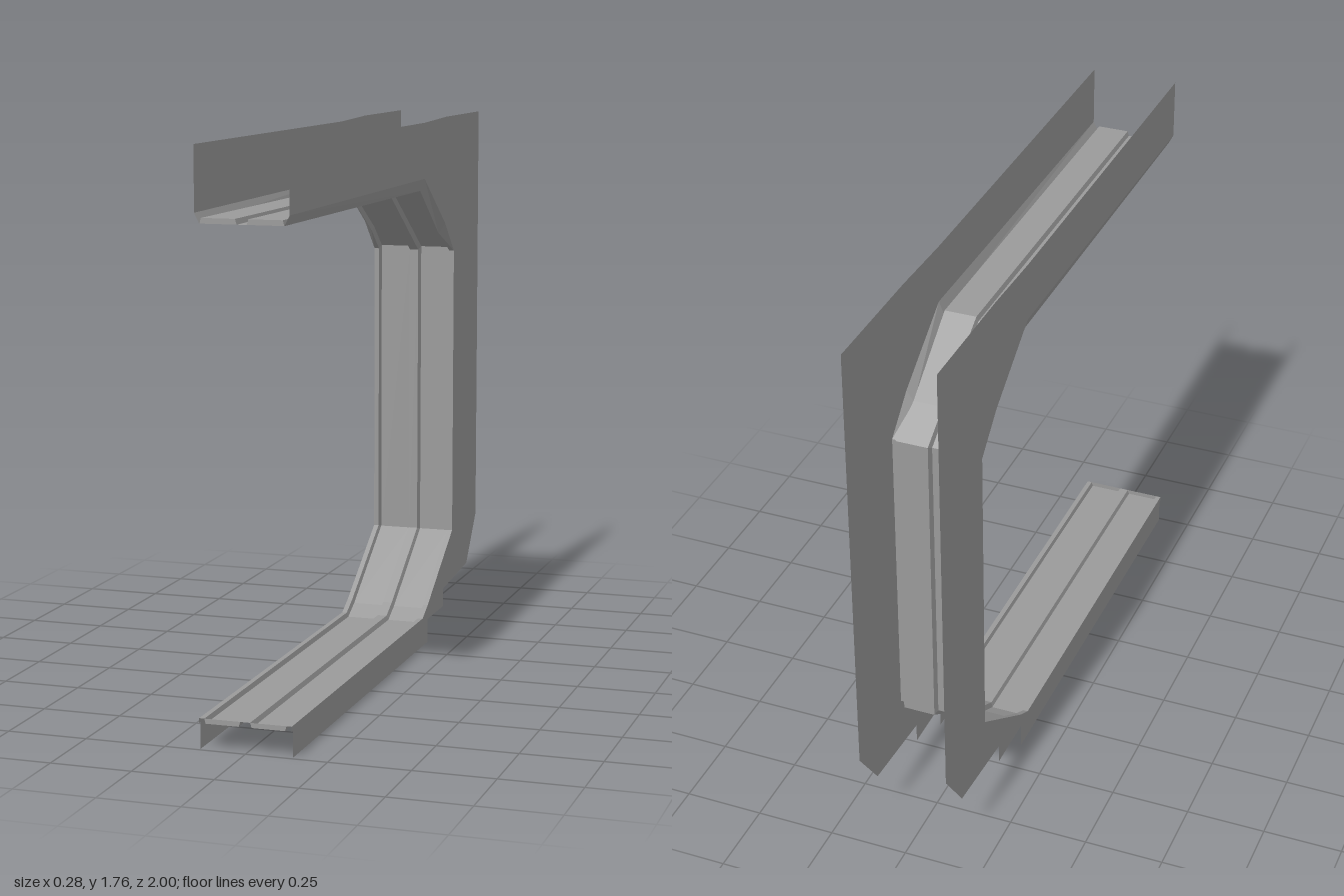
import * as THREE from 'three';

const HALF = 0.142; // half width of the frame
const NARROW = 0.127; // half width of the lining under the upper arm
const material = new THREE.MeshStandardMaterial({ color: 0x9a9a9a, flatShading: true, side: THREE.DoubleSide });

// Side plate outline as [z, y]
const outline = [
  [1, 1.752], [-0.33, 1.752], [-0.58, 1.76], [-1, 1.76], [-1, 0.325], [-0.88, 0.168],
  [-0.58, 0.142], [-0.58, 0.08], [-0.39, 0.08], [-0.39, 0], [0.99, 0], [0.99, 0.08], [1, 0.08],
  [1, 0.095], [-0.33, 0.095], [-0.39, 0.127], [-0.69, 0.325], [-0.69, 1.3],
  [-0.58, 1.403], [-0.33, 1.57], [1, 1.56],
];

// Stations round the opening: rim [z, y], recessed panel [z, y], rim half width
const stations = [
  { rim: [1, 0.095], panel: [1, 0.08], w: HALF },
  { rim: [-0.33, 0.095], panel: [-0.335, 0.08], w: HALF },
  { rim: [-0.39, 0.127], panel: [-0.4, 0.113], w: HALF },
  { rim: [-0.69, 0.325], panel: [-0.71, 0.32], w: HALF },
  { rim: [-0.69, 1.3], panel: [-0.71, 1.31], w: HALF },
  { rim: [-0.58, 1.37], panel: [-0.595, 1.383], w: 0.118 },
  { rim: [-0.33, 1.53], panel: [-0.335, 1.546], w: NARROW },
  { rim: [1, 1.53], panel: [1, 1.546], w: NARROW },
];

// Skin a surface over rows of equally many [x, y, z] points
function loft(rows) {
  const cols = rows[0].length;
  const index = [];
  for (let r = 0; r < rows.length - 1; r++) {
    for (let c = 0; c < cols - 1; c++) {
      const a = r * cols + c, b = a + cols;
      index.push(a, b, a + 1, b, b + 1, a + 1);
    }
  }
  const indexed = new THREE.BufferGeometry();
  indexed.setAttribute('position', new THREE.Float32BufferAttribute(rows.flat(2), 3));
  indexed.setIndex(index);
  const geometry = indexed.toNonIndexed();
  geometry.computeVertexNormals();
  return geometry;
}

// Left half of the lining's cross-section, from the plate to the centre rib
function halfSection({ rim, panel, w }) {
  const inner = Math.min(0.126, w - 0.001);
  const section = [[w, rim], [inner, rim], [inner - 0.004, panel], [0.02, panel], [0.015, rim]];
  return section.map(([x, [z, y]]) => [x, y, z]);
}

const mirror = (points) => points.map(([x, y, z]) => [-x, y, z]).reverse();

export function createModel() {
  const group = new THREE.Group();
  const add = (name, geometry) => {
    const mesh = new THREE.Mesh(geometry, material);
    mesh.name = name;
    group.add(mesh);
    return mesh;
  };

  // Lining: edge rims, two recessed panels and a raised centre rib
  add('lining', loft(stations.map((station) => {
    const half = halfSection(station);
    return [...half, ...mirror(half)];
  })));

  // Caps closing the panel recesses at the free ends of both arms
  for (const [arm, station] of [['lower', stations[0]], ['upper', stations[7]]]) {
    const [, rimOut, panelOut, panelIn, rimIn] = halfSection(station);
    const rows = [[rimOut, rimIn], [panelOut, panelIn]];
    add(arm + 'LeftEndCap', loft(rows));
    add(arm + 'RightEndCap', loft(rows.map(mirror)));
  }

  // Thin side plates and the bevels joining them to the upper lining
  const plateShape = new THREE.Shape(outline.map(([z, y]) => new THREE.Vector2(-z, y)));
  const plateEdge = outline.slice(-4);
  const bevelRows = plateEdge.map(([z, y], i) => {
    const { rim, w } = stations[4 + i];
    return [[HALF, y, z], [w, rim[1], rim[0]]];
  });
  for (const [side, s] of [['left', 1], ['right', -1]]) {
    const plateGeometry = new THREE.ShapeGeometry(plateShape);
    plateGeometry.rotateY(Math.PI / 2);
    add(side + 'Plate', plateGeometry).position.x = s * HALF;
    add(side + 'Bevel', loft(s > 0 ? bevelRows : bevelRows.map(mirror)));
  }
  return group;
}
